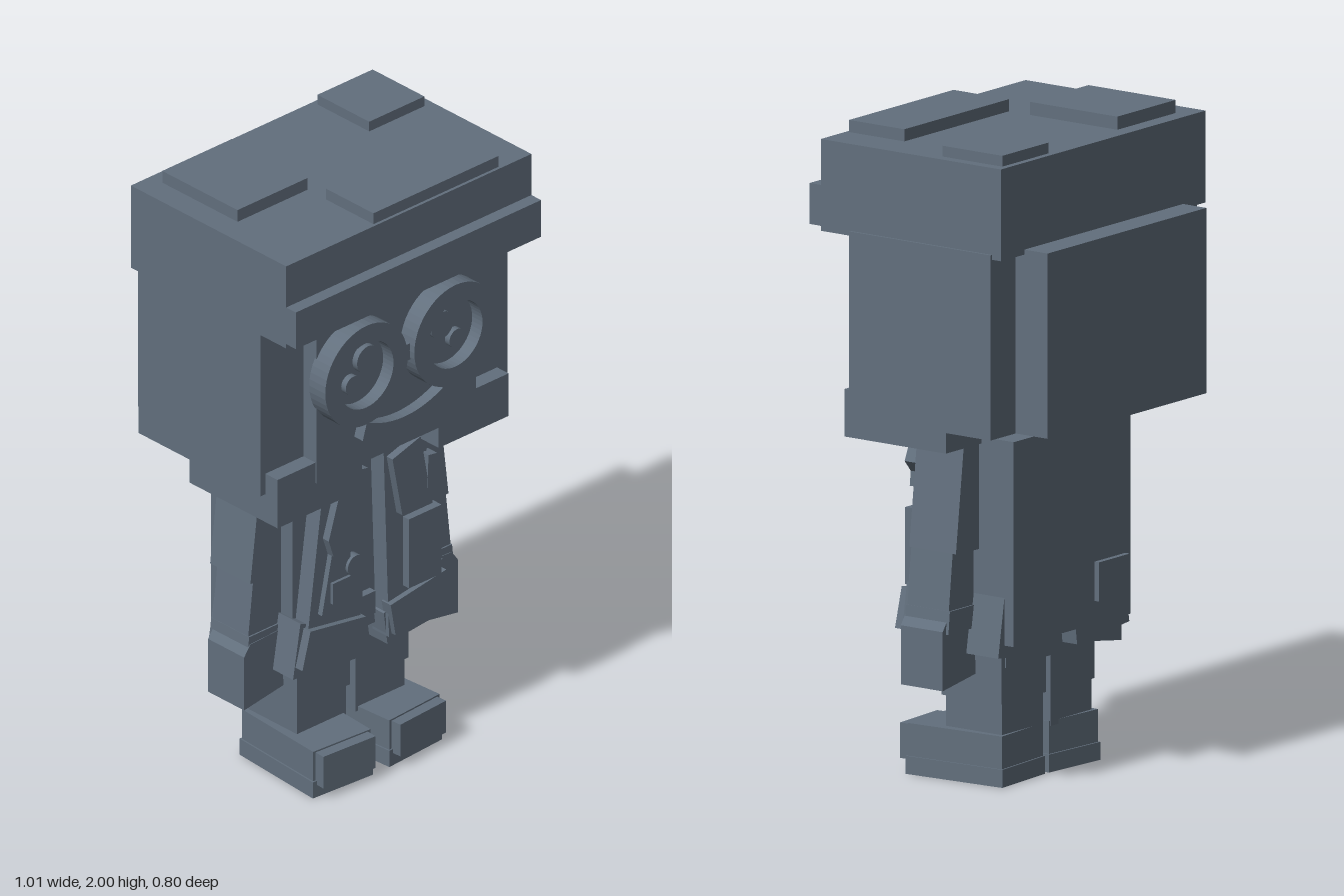
import * as THREE from 'three';

export function createModel() {
  const model = new THREE.Group();
  model.name = 'blockyFigure';
  const slate = new THREE.MeshStandardMaterial({ color: 0x626f7d });
  slate.name = 'slate';

  const add = (name, geo, parent = model) => {
    const mesh = new THREE.Mesh(geo, slate);
    mesh.name = name;
    parent.add(mesh);
    return mesh;
  };
  // box given by its limits on each axis
  const box = (name, [x0, x1], [y0, y1], [z0, z1], parent) => {
    const geo = new THREE.BoxGeometry(x1 - x0, y1 - y0, z1 - z0);
    geo.translate((x0 + x1) / 2, (y0 + y1) / 2, (z0 + z1) / 2);
    return add(name, geo, parent);
  };
  // outline in x and y, extruded from z0 to z1
  const plate = (name, points, z0, z1, parent) => {
    const shape = new THREE.Shape(points.map(([x, y]) => new THREE.Vector2(x, y)));
    const geo = new THREE.ExtrudeGeometry(shape, { depth: z1 - z0, bevelEnabled: false });
    return add(name, geo.translate(0, 0, z0), parent);
  };
  const disc = (name, x, y, r, z0, z1) => {
    const geo = new THREE.CylinderGeometry(r, r, z1 - z0, 32).rotateX(Math.PI / 2);
    return add(name, geo.translate(x, y, (z0 + z1) / 2));
  };

  // Head and hair
  box('sideHair', [-0.505, 0.503], [1.13, 1.695], [-0.28, 0.25]);
  box('backHair', [-0.395, 0.38], [1.13, 1.695], [-0.4, -0.27]);
  box('face', [-0.33, 0.32], [1.13, 1.69], [0.2, 0.308]);
  box('rightLock', [-0.485, -0.14], [1.035, 1.2], [-0.08, 0.303]);
  box('leftLock', [0.175, 0.46], [1.055, 1.2], [-0.08, 0.3]);
  box('neck', [-0.135, 0.115], [1.04, 1.15], [-0.08, 0.14]);

  // Hat
  box('hat', [-0.505, 0.495], [1.68, 1.96], [-0.313, 0.362]);
  box('hatBrim', [-0.505, 0.495], [1.695, 1.82], [0.35, 0.404]);
  box('hatPatch', [-0.425, -0.14], [1.95, 2], [-0.262, 0.065]);
  box('hatPatch', [0.237, 0.462], [1.95, 1.993], [-0.293, -0.068]);
  box('hatPatch', [-0.14, 0.37], [1.95, 1.997], [0.145, 0.352]);

  // Goggles and eyes
  for (const [cx, side] of [[-0.185, 1], [0.178, -1]]) {
    const ring = new THREE.Shape().absarc(0, 0, 0.168, 0, Math.PI * 2);
    ring.holes.push(new THREE.Path().absarc(0, 0, 0.11, 0, Math.PI * 2, true));
    const rim = new THREE.ExtrudeGeometry(ring, { depth: 0.07, bevelEnabled: false, curveSegments: 24 });
    add('goggleRim', rim.translate(cx, 1.47, 0.3));
    disc('eye', cx, 1.47, 0.112, 0.3, 0.325);
    disc('eyeHighlight', cx + 0.03 * side, 1.502, 0.045, 0.32, 0.345);
    disc('eyeGlint', cx - 0.03 * side, 1.435, 0.031, 0.32, 0.345);
  }
  box('goggleBridge', [-0.03, 0.025], [1.44, 1.495], [0.3, 0.35]);
  box('goggleStrap', [0.29, 0.335], [1.47, 1.51], [0.24, 0.33]);

  // Curved smile
  const smile = [];
  for (let i = 0; i <= 12; i++) {
    const t = i / 6 - 1;
    smile.push([-0.005 + t * 0.172, 1.192 + 0.04 * t * t]);
  }
  for (let i = 12; i >= 0; i--) {
    const t = i / 6 - 1;
    smile.push([-0.005 + t * 0.155, 1.25 + 0.038 * t * t]);
  }
  plate('smile', smile, 0.3, 0.345);

  // Coat
  box('coatBody', [-0.285, 0.285], [0.45, 1.075], [-0.2, 0.155]);
  box('shirtHem', [-0.05, 0.03], [0.5, 0.575], [0.14, 0.18]);
  box('backPocket', [-0.26, -0.11], [0.52, 0.64], [-0.217, -0.19]);
  for (const s of [-1, 1]) {
    const mirror = (pts) => (s > 0 ? pts : pts.map(([x, y]) => [-x - 0.01, y]).reverse());
    plate('coatFront', mirror([[0.033, 1.06], [0.055, 0.42], [0.28, 0.45], [0.2, 1.06]]), 0.14, 0.212);
    plate('coatSkirt', mirror([[0.045, 0.5], [0.06, 0.39], [0.315, 0.415], [0.285, 0.595]]), -0.165, 0.2);
    plate('lowerPocket', mirror([[0.045, 0.54], [0.065, 0.43], [0.305, 0.453], [0.272, 0.575]]), 0.19, 0.23);
  }
  plate('rightLapel', [[-0.15, 1.07], [-0.215, 0.86], [-0.195, 0.8], [-0.105, 0.8], [-0.055, 1.05]], 0.19, 0.238);
  plate('leftLapel', [[0.045, 1.04], [0.085, 0.835], [0.2, 0.86], [0.16, 1.075]], 0.19, 0.238);
  plate('lapelBadge', [[0.19, 1], [0.185, 0.89], [0.22, 0.87], [0.215, 0.915], [0.245, 0.95], [0.225, 0.995]], 0.2, 0.24);
  box('leftPocket', [0.112, 0.245], [0.575, 0.81], [0.2, 0.238]);
  plate('rightPocket', [[-0.235, 0.61], [-0.07, 0.61], [-0.07, 0.72], [-0.12, 0.72], [-0.12, 0.8], [-0.195, 0.8]], 0.2, 0.23);
  box('pocketFlap', [-0.2, -0.09], [0.64, 0.71], [0.2, 0.24]);
  disc('pocketButton', -0.105, 0.737, 0.034, 0.2, 0.24);

  // Arms: slanted sleeve, forearm and hand
  for (const s of [-1, 1]) {
    const arm = new THREE.Group();
    arm.name = s > 0 ? 'leftArm' : 'rightArm';
    const side = (pts) => (s > 0 ? pts : pts.map(([x, y]) => [-x - 0.012, y]).reverse());
    plate('upperSleeve', side([[0.2, 1.08], [0.235, 0.73], [0.398, 0.735], [0.357, 1.08]]), -0.07, 0.105, arm);
    plate('forearm', side([[0.245, 0.74], [0.268, 0.5], [0.412, 0.51], [0.387, 0.74]]), -0.05, 0.105, arm);
    plate('cuff', side([[0.29, 0.56], [0.28, 0.49], [0.415, 0.49], [0.408, 0.56]]), -0.055, 0.11, arm);
    plate('hand', side([[0.275, 0.54], [0.27, 0.345], [0.43, 0.32], [0.43, 0.5], [0.405, 0.535]]), -0.045, 0.112, arm);
    model.add(arm);
  }

  // Legs, and shoes with toes turned slightly out
  box('hips', [-0.215, 0.205], [0.36, 0.5], [-0.11, 0.12]);
  for (const s of [-1, 1]) {
    const cx = s > 0 ? 0.113 : -0.125;
    box('upperLeg', [cx - 0.108, cx + 0.108], [0.25, 0.45], [-0.105, 0.12]);
    box('lowerLeg', [cx - 0.1, cx + 0.1], [0.14, 0.26], [-0.1, 0.11]);
    const shoe = new THREE.Group();
    shoe.name = s > 0 ? 'leftShoe' : 'rightShoe';
    shoe.position.set(cx + s * 0.013, 0, 0);
    shoe.rotation.y = s * 0.07;
    box('shoeSole', [-0.115, 0.115], [0, 0.055], [-0.11, 0.235], shoe);
    box('shoeUpper', [-0.11, 0.11], [0.05, 0.155], [-0.105, 0.23], shoe);
    box('toeCap', [-0.1, 0.1], [0.042, 0.15], [0.22, 0.266], shoe);
    model.add(shoe);
  }
  return model;
}
